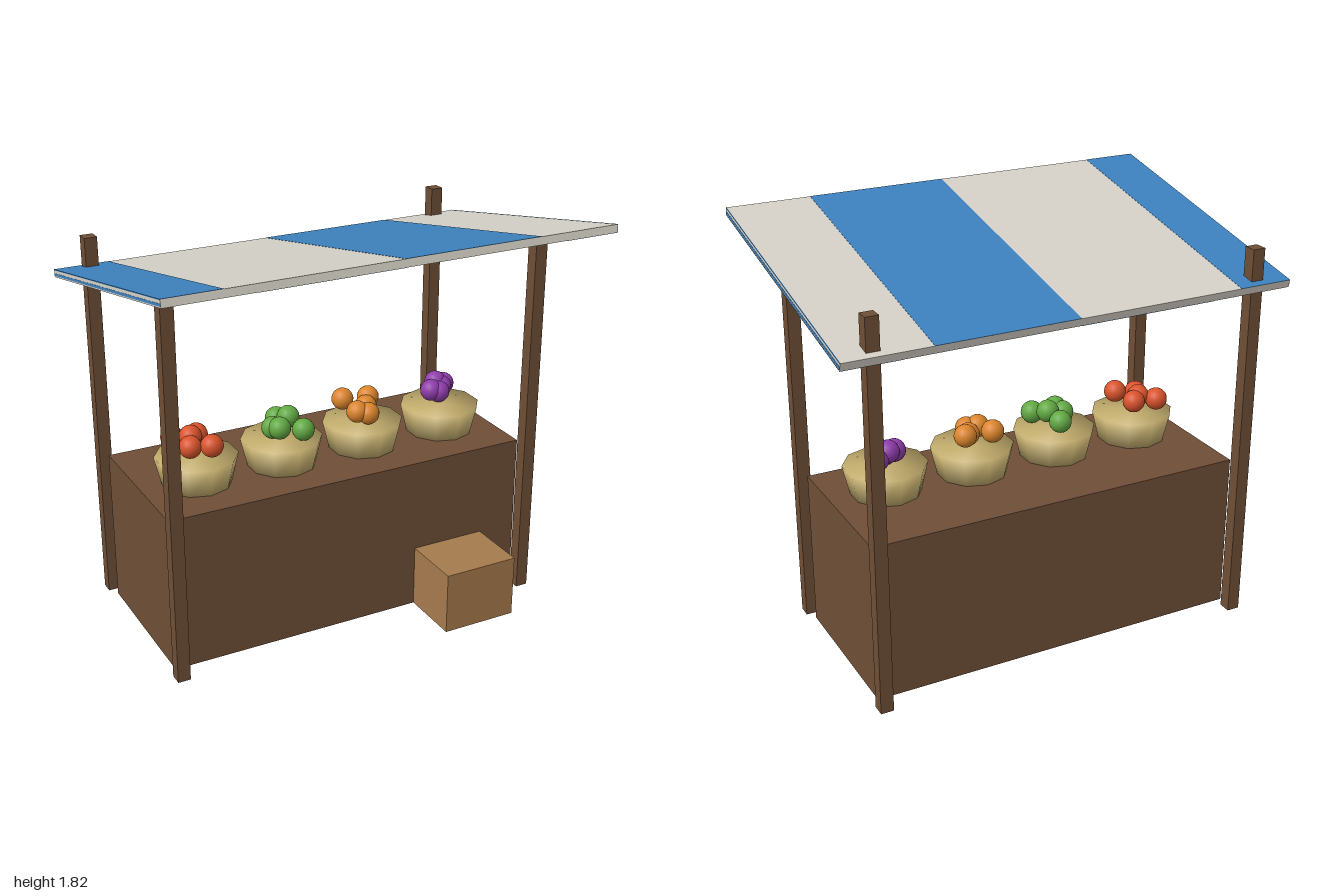
import * as THREE from 'three';
import { mergeVertices } from 'three/addons/utils/BufferGeometryUtils.js';

const paint = (name, color) => {
  const m = new THREE.MeshStandardMaterial({ color });
  m.name = name;
  return m;
};

export function createModel() {
  const wood = paint('brown wood', 0x6f4e37);
  const crateWood = paint('light wood', 0xa67b4d);
  const wicker = paint('wicker', 0xc4ae6e);
  const cream = paint('cream cloth', 0xd6d2c8);
  const blue = paint('blue cloth', 0x3e82bf);
  const red = paint('red fruit', 0xd9532c);
  const green = paint('green fruit', 0x62a843);
  const orange = paint('orange fruit', 0xda842c);
  const purple = paint('purple fruit', 0x8e3caa);

  const stall = new THREE.Group();
  stall.name = 'marketStall';

  const add = (parent, name, geometry, material, x, y, z) => {
    const mesh = new THREE.Mesh(geometry, material);
    mesh.name = name;
    mesh.position.set(x, y, z);
    parent.add(mesh);
    return mesh;
  };
  const box = (parent, name, material, w, h, d, x, y, z) =>
    add(parent, name, new THREE.BoxGeometry(w, h, d), material, x, y, z);

  // Counter, crate and four posts
  box(stall, 'counter', wood, 1.714, 0.714, 0.714, 0, 0.357, -0.143);
  box(stall, 'crate', crateWood, 0.35, 0.286, 0.286, 0.5, 0.143, 0.357);
  for (const x of [-0.857, 0.857]) {
    box(stall, 'frontPost', wood, 0.057, 1.714, 0.057, x, 0.857, 0.286);
    box(stall, 'backPost', wood, 0.057, 1.714, 0.057, x, 0.857, -0.571);
  }

  // Sloping awning: cream panel with thin blue stripes above and below
  const awning = new THREE.Group();
  awning.name = 'awning';
  awning.position.y = 1.68;
  awning.rotation.x = -0.2;
  stall.add(awning);
  const depth = 1.286, thick = 0.035, skin = 0.003;
  box(awning, 'awningPanel', cream, 1.998, thick - 0.002, depth, 0, 0, 0);
  const stripe = (name, x0, x1, y) =>
    box(awning, name, blue, x1 - x0, skin, depth, (x0 + x1) / 2, y, 0);
  stripe('topStripe', -1, -0.755, thick / 2 - skin / 2);
  stripe('topStripe', 0, 0.625, thick / 2 - skin / 2);
  stripe('undersideStripe', -0.625, 0, skin / 2 - thick / 2);
  stripe('undersideStripe', 0.75, 1, skin / 2 - thick / 2);
  for (const x of [-0.9985, 0.9985]) {
    box(awning, 'edgeStripe', blue, skin, 0.011, depth, x, -0.005, 0);
    box(awning, 'edgeTrim', blue, skin, 0.004, depth, x, 0.0155, 0);
  }

  // Ten-sided basket with normals shared across the rims, for a soft look
  let basket = new THREE.CylinderGeometry(0.183, 0.153, 0.129, 10);
  basket.deleteAttribute('normal');
  basket.deleteAttribute('uv');
  basket = mergeVertices(basket);
  basket.computeVertexNormals();
  const fruit = new THREE.SphereGeometry(0.05, 16, 12);

  // Each basket holds a heap of fruit, given as [x, y, z]
  const heaps = [
    ['red', red, -0.608, [[-0.685, 0.91, -0.15], [-0.65, 0.905, -0.03],
      [-0.567, 0.91, 0.01], [-0.62, 0.92, -0.1], [-0.58, 0.91, -0.13]]],
    ['green', green, -0.203, [[-0.25, 0.9, -0.06], [-0.19, 0.9, -0.15],
      [-0.135, 0.895, 0.01], [-0.165, 0.928, -0.08], [-0.235, 0.91, -0.02]]],
    ['orange', orange, 0.203, [[0.143, 0.925, -0.15], [0.263, 0.92, -0.13],
      [0.2, 0.895, -0.01], [0.155, 0.905, -0.03], [0.225, 0.9, -0.08]]],
    ['purple', purple, 0.61, [[0.575, 0.905, -0.09], [0.62, 0.925, -0.13],
      [0.67, 0.905, -0.14], [0.61, 0.895, -0.08], [0.64, 0.905, -0.11]]],
  ];
  for (const [name, material, x, spots] of heaps) {
    add(stall, name + 'FruitBasket', basket, wicker, x, 0.779, -0.071);
    for (const p of spots) add(stall, name + 'Fruit', fruit, material, ...p);
  }
  return stall;
}
